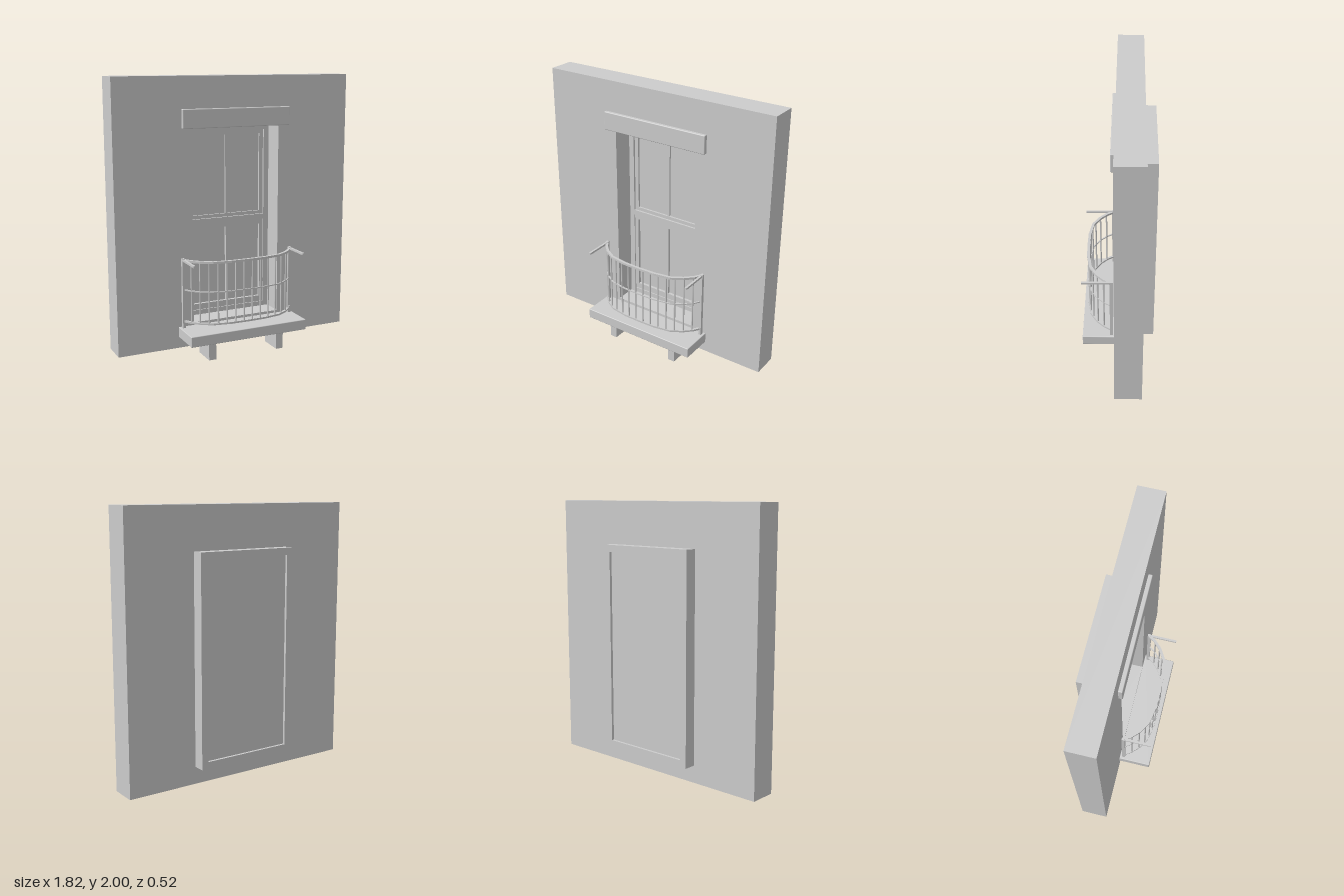
import * as THREE from 'three';
import { RoundedBoxGeometry } from 'three/addons/geometries/RoundedBoxGeometry.js';

export function createModel() {
  const model = new THREE.Group();
  model.name = 'balconyWindow';
  const stone = new THREE.MeshStandardMaterial({ color: 0xcccccc });
  stone.name = 'paleGrey';

  function add(name, geometry, parent = model) {
    const mesh = new THREE.Mesh(geometry, stone);
    mesh.name = name;
    parent.add(mesh);
    return mesh;
  }
  function group(name) {
    const g = new THREE.Group();
    g.name = name;
    model.add(g);
    return g;
  }
  // Box given by its limits, with an optional small rounded edge
  function box(name, [x0, x1], [y0, y1], [z0, z1], parent, round = 0) {
    const size = [x1 - x0, y1 - y0, z1 - z0];
    const g = round ? new RoundedBoxGeometry(...size, 2, round) : new THREE.BoxGeometry(...size);
    g.translate((x0 + x1) / 2, (y0 + y1) / 2, (z0 + z1) / 2);
    return add(name, g, parent);
  }
  // Upright slab with rectangular openings; each rectangle is [half width, y0, y1]
  function panel(name, outer, holes, [z0, z1], parent) {
    const corners = ([w, y0, y1]) => [[-w, y0], [w, y0], [w, y1], [-w, y1]].map(p => new THREE.Vector2(...p));
    const shape = new THREE.Shape(corners(outer));
    for (const h of holes) shape.holes.push(new THREE.Path(corners(h).reverse()));
    const g = new THREE.ExtrudeGeometry(shape, { depth: z1 - z0, bevelEnabled: false });
    g.translate(0, 0, z0);
    return add(name, g, parent);
  }

  // Wall with its window opening, and the casing on the back
  const opening = [0.34, 0.235, 1.64];
  panel('wall', [0.91, 0.06, 2], [opening], [-0.175, 0.02]);
  panel('backCasing', [0.39, 0.185, 1.69], [opening], [-0.262, -0.175]);

  // Window frame, two sashes, glass and glazing bars
  const win = group('window');
  const upper = [0.3, 0.96, 1.6], lower = [0.3, 0.27, 0.92];
  panel('windowFrame', opening, [upper, lower], [-0.2, -0.135], win);
  panel('upperSash', upper, [[0.27, 0.985, 1.57]], [-0.2, -0.15], win);
  panel('lowerSash', lower, [[0.27, 0.315, 0.885]], [-0.2, -0.143], win);
  box('glass', [-0.34, 0.34], [0.235, 1.64], [-0.243, -0.165], win);
  box('upperGlazingBar', [-0.008, 0.008], [0.985, 1.57], [-0.165, -0.152], win);
  box('lowerGlazingBar', [-0.008, 0.008], [0.315, 0.885], [-0.165, -0.146], win);

  // Lintel, balcony slab and its two brackets
  box('lintel', [-0.418, 0.418], [1.64, 1.775], [0.02, 0.05], model, 0.006);
  box('balconySlab', [-0.457, 0.457], [0.14, 0.217], [0.018, 0.262], model, 0.005);
  for (const s of [-1, 1])
    box('bracket', [s * 0.27 - 0.0275, s * 0.27 + 0.0275], [0, 0.145], [0.02, 0.2]);

  // Bowed railing: plan path of the rails as (x, z)
  const railing = group('railing');
  const half = [[0.425, 0.05], [0.395, 0.098], [0.34, 0.152], [0.26, 0.2], [0.13, 0.222]];
  const path = [...half.map(([x, z]) => [-x, z]), [0, 0.225], ...half.slice().reverse()]
    .map(p => new THREE.Vector2(...p));

  // Flat rail following the plan path
  function rail(name, y0, y1, width) {
    const side = d => path.map((p, i) => {
      const a = path[Math.max(i - 1, 0)], b = path[Math.min(i + 1, path.length - 1)];
      const t = b.clone().sub(a).normalize();
      return new THREE.Vector2(p.x - t.y * d, -(p.y + t.x * d));
    });
    const shape = new THREE.Shape([...side(width / 2), ...side(-width / 2).reverse()]);
    const g = new THREE.ExtrudeGeometry(shape, { depth: y1 - y0, bevelEnabled: false });
    g.rotateX(-Math.PI / 2).translate(0, y0, 0);
    add(name, g, railing);
  }
  rail('topRail', 0.708, 0.724, 0.02);
  rail('middleRail', 0.496, 0.504, 0.01);
  rail('bottomRail', 0.26, 0.273, 0.018);

  // Evenly spaced balusters along the path
  const line = new THREE.CurvePath();
  for (let i = 1; i < path.length; i++) line.add(new THREE.LineCurve(path[i - 1], path[i]));
  const count = 16;
  for (let i = 0; i < count; i++) {
    const p = line.getPointAt(i / (count - 1));
    add('baluster', new THREE.CylinderGeometry(0.006, 0.006, 0.45, 8), railing)
      .position.set(p.x, 0.488, p.y);
  }

  // End posts and the straight arms at their tops
  for (const s of [-1, 1]) {
    const x = s * 0.428;
    box('railPost', [x - 0.01, x + 0.01], [0.21, 0.728], [0.036, 0.06], railing);
    box('railArm', [x - 0.008, x + 0.008], [0.71, 0.725], [0.05, 0.262], railing);
  }
  return model;
}
